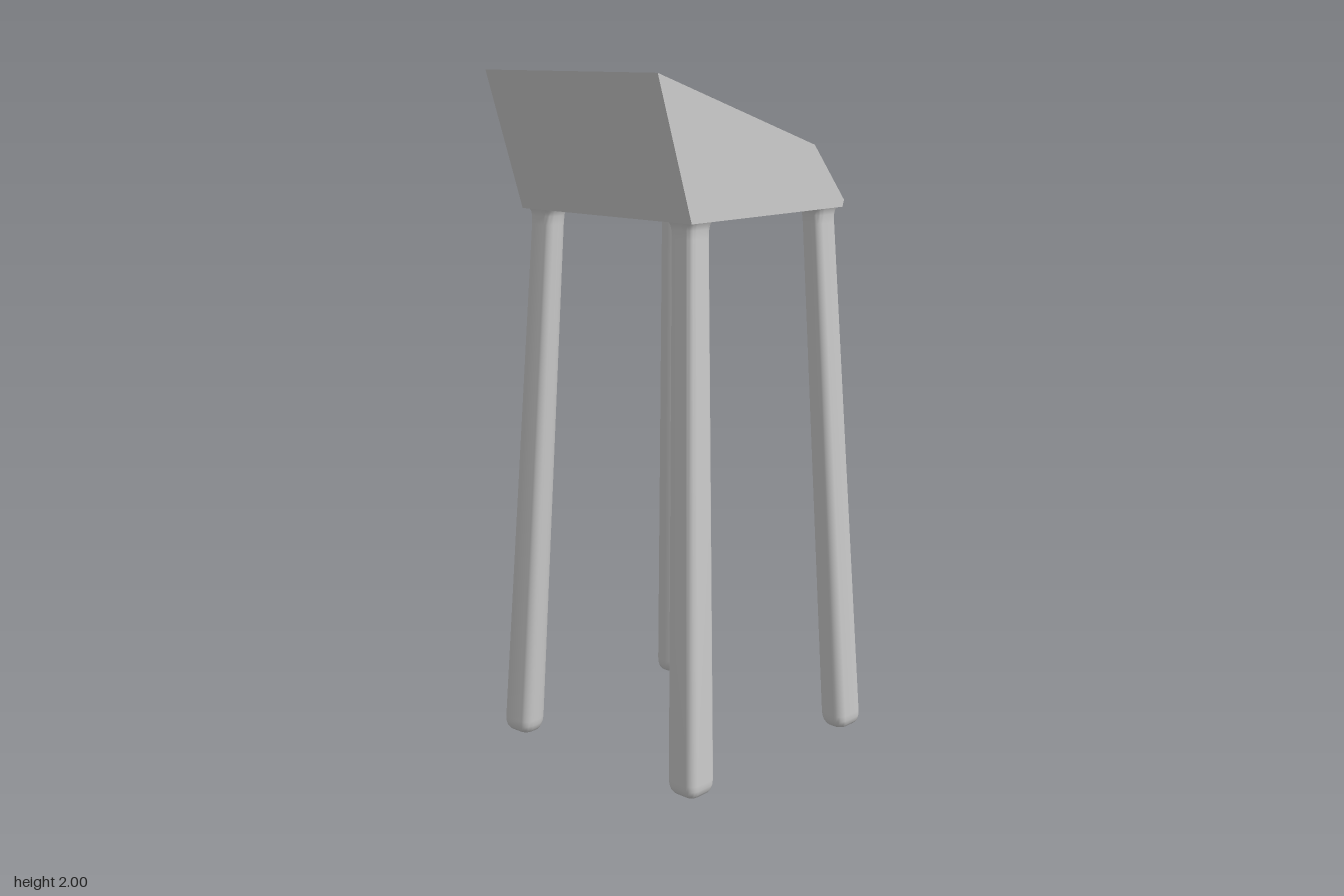
import * as THREE from 'three';
import { toCreasedNormals } from 'three/addons/utils/BufferGeometryUtils.js';

const V2 = (x, y) => new THREE.Vector2(x, y);
const metal = new THREE.MeshStandardMaterial({ color: 0xcccccc });
const shellMaterial = new THREE.MeshStandardMaterial({ color: 0xcccccc, side: THREE.DoubleSide });

// Skin a list of equally long rows of [x, y, z] points
function loft(rows, closed, crease = 0.6) {
  const n = rows[0].length, index = [];
  for (let i = 0; i < rows.length - 1; i++) {
    for (let j = 0; j < (closed ? n : n - 1); j++) {
      const k = (j + 1) % n, a = i * n + j, b = i * n + k;
      index.push(a, a + n, b, b, a + n, b + n);
    }
  }
  const g = new THREE.BufferGeometry();
  g.setAttribute('position', new THREE.Float32BufferAttribute(rows.flat(2), 3));
  g.setIndex(index);
  return toCreasedNormals(g, crease);
}

function addMesh(group, name, geometry, material) {
  const mesh = new THREE.Mesh(geometry, material);
  mesh.name = name;
  group.add(mesh);
}

// Leg: square section, softer on the inner corner, splayed outward to the foot
function legGeometry(sx, sz) {
  const h = 0.053, section = [];
  [0.025, 0.03, 0.06, 0.03].forEach((r, q) => {
    const cx = (q === 0 || q === 3 ? 1 : -1) * (h - r), cz = (q < 2 ? 1 : -1) * (h - r);
    for (let k = 0; k <= 6; k++) {
      const a = (q + k / 6) * Math.PI / 2;
      section.push([cx + r * Math.cos(a), cz + r * Math.sin(a)]);
    }
  });
  if (sx * sz < 0) section.reverse();
  // [height, scale]: rounded foot, slight taper, flared joint under the seat
  const rings = [[0, 0], [0, 0.6], [0.004, 0.78], [0.013, 0.91], [0.026, 0.98], [0.042, 1],
    [1.56, 0.8], [1.585, 0.82], [1.597, 0.87], [1.607, 0.98]];
  return loft(rings.map(([y, s]) => {
    const c = THREE.MathUtils.lerp(0.343, 0.273, y / 1.6);
    return section.map(([u, v]) => [0.03 + sx * (c + u * s), y, sz * (c + v * s)]);
  }), true, 0.7);
}

function buildSeat(seat) {
  const W = 0.33, w = 0.305, r = 0.035;
  // Outer side profile
  const top = V2(-0.43, 2), bend = V2(0.22, 1.79), lip = V2(0.362, 1.625);
  const frontBase = V2(0.355, 1.605), backBase = V2(-0.3, 1.605);

  // Inner profile: down the backrest, round the fillet, along the floor
  const A = V2(-0.405, 1.992), K = V2(-0.282, 1.627), C = V2(0.357, 1.63);
  const f0 = K.clone().lerp(A, 0.14), f1 = K.clone().lerp(C, 0.085);
  const path = [];
  for (let i = 0; i < 5; i++) path.push(A.clone().lerp(f0, i / 5));
  path.push(...new THREE.QuadraticBezierCurve(f0, K, f1).getPoints(7));
  for (let i = 1; i <= 5; i++) path.push(f1.clone().lerp(V2(0.22, 1.629), i / 5));
  const bendRow = path.length - 1;
  path.push(V2(0.29, 1.63), C);

  // Each row crosses the floor, turns a fillet and climbs to the rim
  const rimStart = A.clone().lerp(bend, 0.1), rimEnd = C.clone().lerp(bend, 0.25);
  const rows = path.map((p, i) => {
    const q = i <= bendRow ? rimStart.clone().lerp(bend, i / bendRow)
      : bend.clone().lerp(rimEnd, (i - bendRow) / (path.length - 1 - bendRow));
    const d = q.clone().sub(p).normalize();
    const half = [];
    for (let k = 0; k <= 6; k++) {
      const a = k / 6 * Math.PI / 2, lift = r * (1 - Math.cos(a));
      half.push([p.x + d.x * lift, p.y + d.y * lift, w - r + r * Math.sin(a)]);
    }
    half.push([q.x, q.y, w]);
    return [...half.map(([x, y, z]) => [x, y, -z]).reverse(), ...half];
  });
  addMesh(seat, 'seatInside', loft(rows, false, 0.7), shellMaterial);

  // Rim strip joining the inner surface to the outer edges
  const endStrip = (row, edge) => loft([row, row.map(([x, y, z], j) =>
    j === 0 || j === row.length - 1 ? [x, y, Math.sign(z) * W] : [edge.x, edge.y, z * W / w])], false);
  addMesh(seat, 'backRim', endStrip(rows[0], top), shellMaterial);
  addMesh(seat, 'frontRim', endStrip(rows[rows.length - 1], lip), shellMaterial);
  for (const s of [1, -1]) {
    const edge = rows.map(row => s > 0 ? row[row.length - 1] : row[0]);
    addMesh(seat, s > 0 ? 'leftRim' : 'rightRim',
      loft([edge, edge.map(([x, y]) => [x, y, s * W])], false), shellMaterial);

    // Flat outer side panel
    const panel = new THREE.ShapeGeometry(new THREE.Shape([top, backBase, frontBase, lip, bend]));
    panel.translate(0, 0, s * W);
    if (s < 0) panel.index.array.reverse();
    panel.computeVertexNormals();
    addMesh(seat, s > 0 ? 'leftPanel' : 'rightPanel', panel, shellMaterial);
  }

  // Outer back and front edge
  const strip = (a, b) => loft([a, b].map(p => [[p.x, p.y, -W], [p.x, p.y, W]]), false);
  addMesh(seat, 'backPanel', strip(top, backBase), shellMaterial);
  addMesh(seat, 'frontEdge', strip(frontBase, lip), shellMaterial);

  // Underside, falling gently to a central low point
  const corners = [[-0.3, 1.605, -W], [0.355, 1.605, -W], [0.355, 1.605, W], [-0.3, 1.605, W]];
  addMesh(seat, 'underside', loft([corners, corners.map(() => [0.03, 1.58, 0])], true, 0.01), shellMaterial);
}

export function createModel() {
  const model = new THREE.Group();
  model.name = 'barStool';
  const seat = new THREE.Group();
  seat.name = 'seat';
  buildSeat(seat);
  model.add(seat);
  for (const sx of [1, -1]) {
    for (const sz of [1, -1]) {
      addMesh(model, `${sx > 0 ? 'front' : 'back'}${sz > 0 ? 'Left' : 'Right'}Leg`, legGeometry(sx, sz), metal);
    }
  }
  return model;
}
